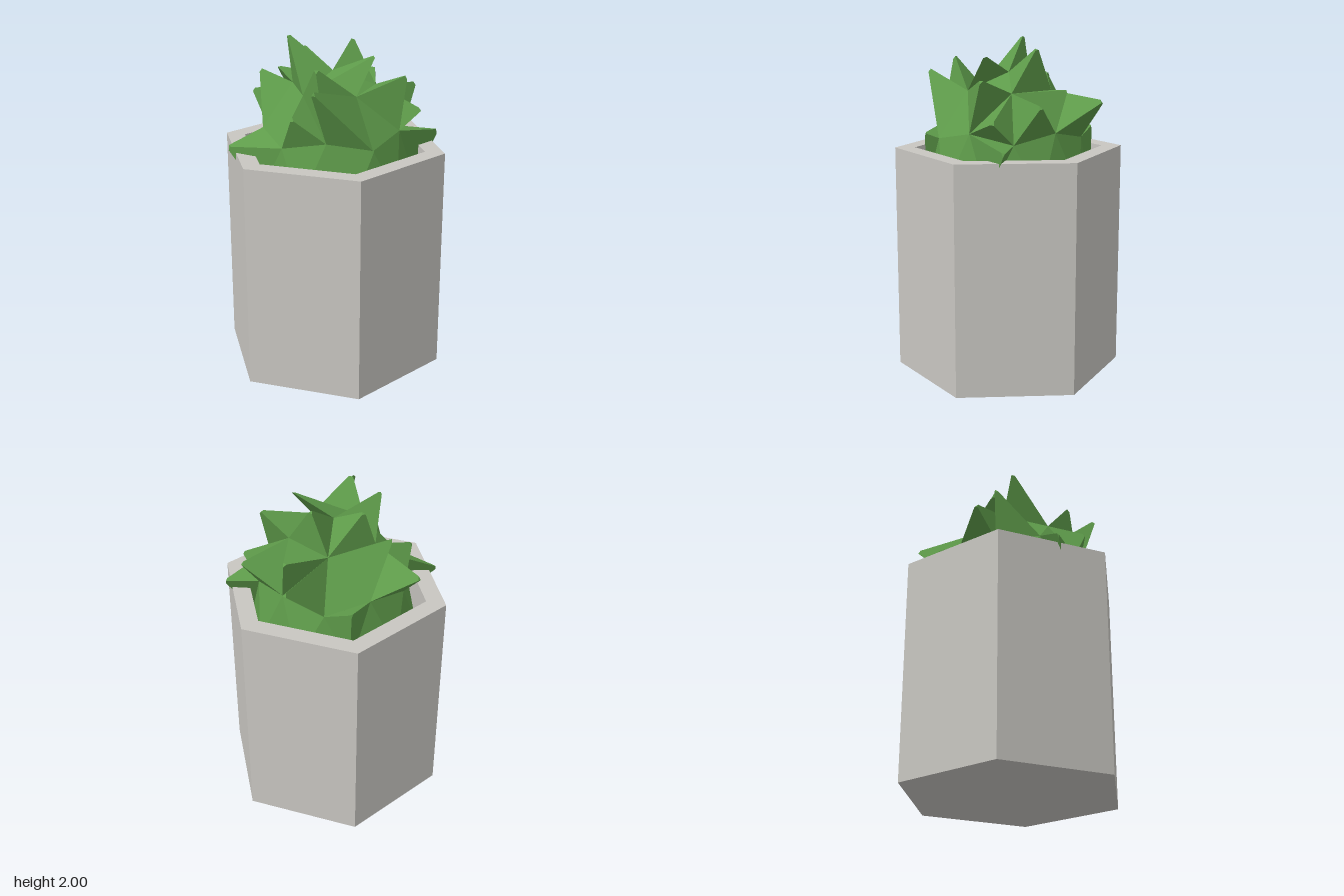
import * as THREE from 'three';

const R = 0.49, H = 0.67, CY = 1.13; // plant body radius, half height, centre height

// Polar angles (degrees) of the vertex rings on the faceted plant body
const POLAR = { p: 0, m: 31.717, n: 58.283, v: 63.435, e: 90 };

// Point on the body: ring letter plus azimuth in degrees, such as 'm72'
function bodyPoint(key) {
  const polar = THREE.MathUtils.degToRad(POLAR[key[0]]);
  const az = THREE.MathUtils.degToRad(Number(key.slice(1)));
  return new THREE.Vector3(
    R * Math.sin(polar) * Math.cos(az),
    CY + H * Math.cos(polar),
    R * Math.sin(polar) * Math.sin(az));
}

// Leaf spike: a body facet drawn out to a small blunt tip
function spikeGeometry(keys, tip) {
  const base = keys.split(' ').map(bodyPoint);
  const mid = new THREE.Vector3().add(base[0]).add(base[1]).add(base[2]).divideScalar(3);
  const out = mid.clone().sub(new THREE.Vector3(0, CY, 0));
  const cross = base[1].clone().sub(base[0]).cross(base[2].clone().sub(base[0]));
  if (cross.dot(out) < 0) base.reverse();
  const end = new THREE.Vector3(...tip);
  const top = base.map((b) => b.clone().sub(mid).multiplyScalar(0.08).add(end));
  const pts = [...top];
  for (let i = 0; i < 3; i++) {
    const j = (i + 1) % 3;
    pts.push(base[i], base[j], top[j], base[i], top[j], top[i]);
  }
  const g = new THREE.BufferGeometry().setFromPoints(pts);
  g.computeVertexNormals();
  return g;
}

// Base facet and tip position of each leaf spike
const SPIKES = [
  // crown
  ['p0 m144 m216', [-0.24, 1.99, -0.1]],
  ['p0 m216 m288', [-0.13, 1.91, -0.17]],
  ['p0 m288 m0', [0.155, 1.94, -0.15]],
  ['p0 m72 m144', [0.2, 1.9, 0.15]],
  // shoulder
  ['m72 m144 n108', [-0.165, 1.876, 0.314]],
  ['m0 m72 n36', [0.385, 1.78, 0.18]],
  ['m288 m0 n324', [0.33, 1.72, -0.3]],
  ['m216 m288 n252', [-0.27, 1.77, -0.25]],
  // sides
  ['m72 v72 n108', [-0.215, 1.79, 0.47]],
  ['m144 n108 v144', [-0.31, 1.62, 0.35]],
  ['m216 n180 v216', [-0.38, 1.75, -0.27]],
  ['m216 v216 n252', [-0.4, 1.6, -0.4]],
  ['m288 v288 n324', [0.36, 1.66, -0.5]],
  ['m0 n324 v0', [0.54, 1.65, -0.14]],
  ['m0 v0 n36', [0.5, 1.56, 0.12]],
  // low, reaching over the rim
  ['v0 n36 e18', [0.62, 1.41, 0.07]],
  ['v72 n108 e90', [0.11, 1.45, 0.495]],
  ['v144 n180 e162', [-0.62, 1.38, 0.02]],
  ['v288 n252 e270', [0, 1.47, -0.495]],
];

export function createModel() {
  const stone = new THREE.MeshStandardMaterial({ color: 0xc8c6c1, flatShading: true });
  stone.name = 'stoneGrey';
  const green = new THREE.MeshStandardMaterial({ color: 0x5e9b4a, flatShading: true });
  green.name = 'leafGreen';

  const model = new THREE.Group();
  model.name = 'pottedPlant';

  // Hollow six-sided pot
  const profile = [[0, 0], [0.678, 0], [0.678, 1.355], [0.56, 1.355], [0.56, 0.85], [0, 0.85]]
    .map(([x, y]) => new THREE.Vector2(x, y));
  const potGeometry = new THREE.LatheGeometry(profile, 6).toNonIndexed();
  potGeometry.computeVertexNormals();
  const pot = new THREE.Mesh(potGeometry, stone);
  pot.name = 'pot';
  model.add(pot);

  // Faceted body, turned so that one corner points up
  const bodyGeometry = new THREE.IcosahedronGeometry(1, 1);
  bodyGeometry.rotateZ(-Math.atan(2 / (1 + Math.sqrt(5))));
  bodyGeometry.scale(R, H, R);
  bodyGeometry.translate(0, CY, 0);
  const plant = new THREE.Group();
  plant.name = 'plant';
  const body = new THREE.Mesh(bodyGeometry, green);
  body.name = 'plantBody';
  plant.add(body);

  // Leaf spikes
  SPIKES.forEach(([keys, tip], i) => {
    const spike = new THREE.Mesh(spikeGeometry(keys, tip), green);
    spike.name = `leafSpike${i + 1}`;
    plant.add(spike);
  });
  model.add(plant);
  return model;
}
